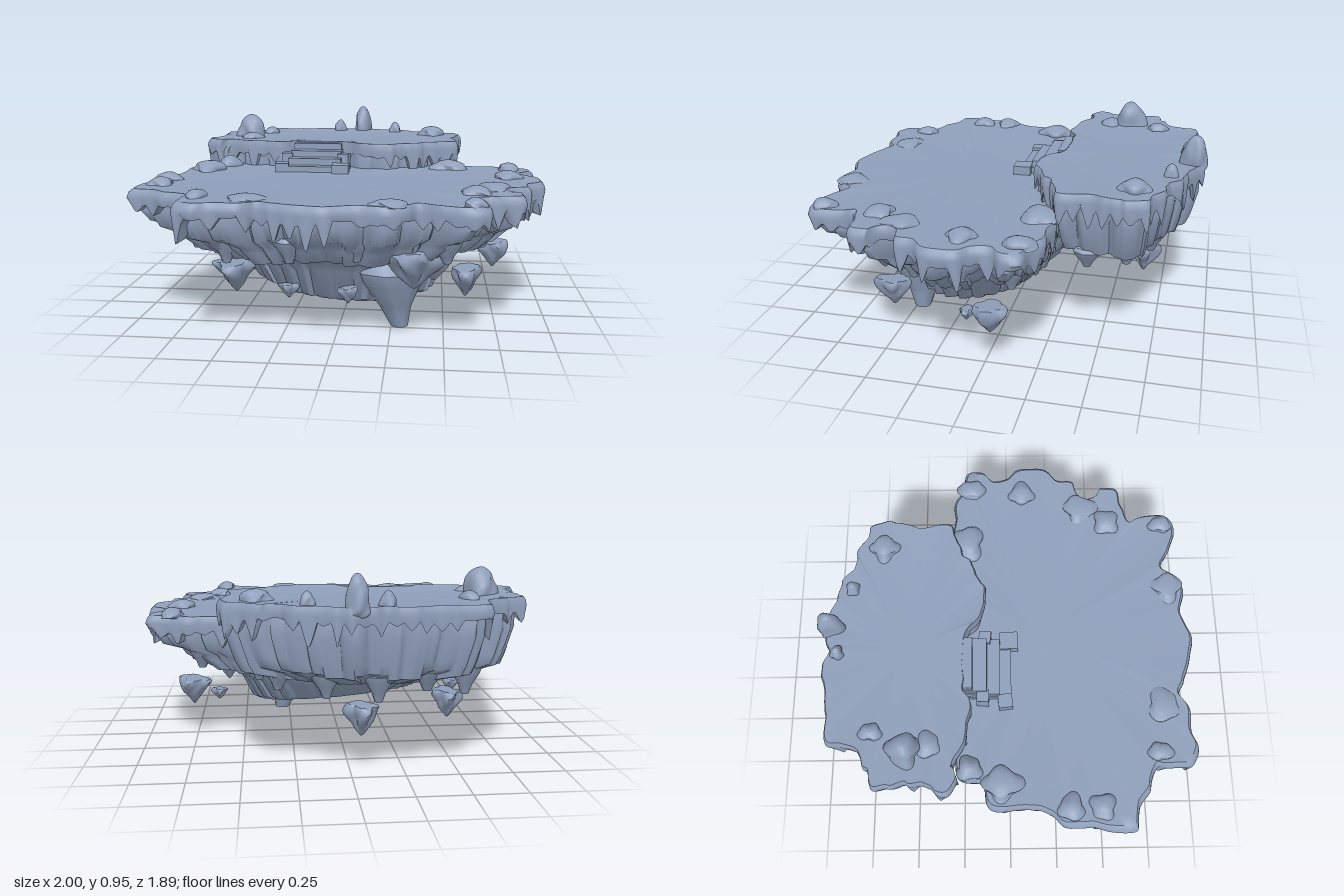
import * as THREE from 'three';
import { mergeVertices, toCreasedNormals } from 'three/addons/utils/BufferGeometryUtils.js';

const N = 480;
const stone = new THREE.MeshStandardMaterial({ color: 0x8f9fba });
stone.name = 'blue grey stone';

const hash = (n) => { const s = Math.sin(n * 127.1 + 11.7) * 43758.5453; return s - Math.floor(s); };
const lerp = THREE.MathUtils.lerp;
// Smooth looping noise along the rim
function rimNoise(t, count, seed) {
  const u = t * count, i = Math.floor(u), f = u - i, e = f * f * (3 - 2 * f);
  return lerp(hash((i % count) + seed), hash(((i + 1) % count) + seed), e);
}

const lowerOutline = [[0.56, -0.29], [0.66, -0.28], [0.76, -0.29], [0.84, -0.24], [0.95, -0.22], [0.96, -0.14], [0.9, -0.08],
  [0.92, 0], [0.98, 0.06], [0.99, 0.14], [0.97, 0.22], [0.92, 0.27], [0.9, 0.36], [0.82, 0.38], [0.8, 0.47], [0.86, 0.52],
  [0.85, 0.59], [0.75, 0.62], [0.64, 0.65], [0.68, 0.72], [0.68, 0.85], [0.62, 0.89], [0.5, 0.87], [0.38, 0.81], [0.33, 0.87],
  [0.25, 0.92], [0.12, 0.89], [0, 0.94], [-0.1, 0.93], [-0.25, 0.88], [-0.33, 0.84], [-0.4, 0.89], [-0.5, 0.89], [-0.6, 0.92],
  [-0.68, 0.88], [-0.69, 0.71], [-0.8, 0.67], [-0.87, 0.62], [-0.98, 0.6], [-0.99, 0.5], [-0.96, 0.4], [-0.97, 0.28],
  [-0.9, 0.2], [-0.88, 0.08], [-0.88, -0.09], [-0.76, -0.14], [-0.73, -0.25], [-0.4, -0.27], [0, -0.27], [0.3, -0.28]];
const upperOutline = [[-0.84, -0.3], [-0.8, -0.38], [-0.79, -0.5], [-0.8, -0.65], [-0.72, -0.68], [-0.63, -0.72], [-0.58, -0.87],
  [-0.45, -0.88], [-0.35, -0.89], [-0.2, -0.91], [-0.12, -0.88], [0, -0.94], [0.07, -0.9], [0.15, -0.86], [0.27, -0.83],
  [0.32, -0.78], [0.42, -0.77], [0.5, -0.72], [0.57, -0.7], [0.59, -0.55], [0.55, -0.45], [0.57, -0.3], [0.42, -0.24],
  [0.3, -0.16], [0.2, -0.12], [0.05, -0.14], [-0.03, -0.21], [-0.1, -0.23], [-0.34, -0.22], [-0.4, -0.18], [-0.5, -0.2],
  [-0.6, -0.22], [-0.7, -0.27], [-0.76, -0.25]];

// Skin through rings running from the top centre down to the bottom centre
function loft(rows, crease = 0.75) {
  const pos = [], idx = [];
  rows.forEach((row) => { for (let i = 0; i < N; i++) pos.push(...row(i / N, i)); });
  for (let r = 0; r < rows.length - 1; r++) for (let i = 0; i < N; i++) {
    const j = (i + 1) % N, a = r * N + i, b = r * N + j, c = a + N, d = b + N;
    idx.push(a, b, c, b, d, c);
  }
  const g = new THREE.BufferGeometry();
  g.setAttribute('position', new THREE.Float32BufferAttribute(pos, 3));
  g.setIndex(idx);
  return toCreasedNormals(g, crease);
}

function add(parent, name, geometry) {
  const m = new THREE.Mesh(geometry, stone);
  m.name = name;
  parent.add(m);
  return m;
}

// One terrace: a dripping crust over a wall of rounded stone columns
function terrace(name, outline, topY, core, blocks, seed, bodyRows) {
  const group = new THREE.Group();
  group.name = name;
  const curve = new THREE.CatmullRomCurve3(outline.map(([x, z]) => new THREE.Vector3(x, 0, z)), true, 'centripetal');
  const pts = curve.getSpacedPoints(N).slice(0, N);
  const inner = pts.map((p) => {
    const a = Math.atan2((p.z - core.z) / core.rz, (p.x - core.x) / core.rx);
    return [core.x + core.rx * Math.cos(a), core.z + core.rz * Math.sin(a)];
  });
  // k moves from the outline to the core; s then shrinks toward the core centre
  const ring = (k, y, s = 1, groove = 0, jag = 0) => (t, i) => {
    const g = Math.pow(Math.abs(Math.cos(Math.PI * t * blocks)), 7) * groove;
    const id = Math.floor(t * blocks + 0.5) % blocks;
    const f = s * (1 - g), p = pts[i], q = inner[i];
    const x = core.x + (lerp(p.x, q[0], k) - core.x) * f;
    const z = core.z + (lerp(p.z, q[1], k) - core.z) * f;
    const wob = 0.018 * (rimNoise(t, 90, seed) - 0.5);
    const yy = typeof y === 'function' ? y(x, z, t) : y;
    return [x + wob, yy + jag * (hash(id + seed) - 0.5), z + wob];
  };
  const teeth = Math.round(blocks * 2.6);
  const tooth = (t) => {
    const u = t * teeth, i = Math.floor(u);
    return (1 - Math.abs(2 * (u - i) - 1)) * Math.pow(hash(i + seed * 3), 1.6);
  };
  const drip = (up) => (x, z, t) => topY - 0.055 - 0.025 * rimNoise(t, 60, seed) - 0.15 * tooth(t) + up;
  add(group, 'crust', loft([
    ring(0, topY, 0), ring(0.16, topY), ring(0.05, topY + 0.003), ring(0, topY - 0.015),
    ring(-0.02, topY - 0.04), ring(0.01, drip(0)), ring(0.1, drip(0.015)), ring(0.3, topY - 0.04)]));
  add(group, 'stoneColumns', loft([ring(0.2, topY - 0.02, 0.98), ...bodyRows(ring)]));
  return group;
}

// Lumpy stone; kind 0 is a ground mound, kind 1 hangs with a flat top and a tapered base
function rock(parent, name, x, y, z, r, h, seed, kind) {
  const g0 = new THREE.IcosahedronGeometry(1, 5);
  g0.deleteAttribute('normal');
  g0.deleteAttribute('uv');
  const g = mergeVertices(g0), p = g.attributes.position;
  for (let i = 0; i < p.count; i++) {
    let [a, b, c] = [p.getX(i), p.getY(i), p.getZ(i)];
    const n = 1 + 0.13 * Math.sin(3.1 * a + seed) + 0.11 * Math.sin(4.3 * c + seed * 2.1) + 0.08 * Math.sin(6 * b + 5 * a + seed);
    if (kind) {
      const w = b < 0.2 ? lerp(0.3, 1.12, (b + 1) / 1.2) : 1.12;
      const flat = Math.hypot(a, c) > 0 ? w * Math.max(Math.abs(a), Math.abs(c), 0.75 * Math.hypot(a, c)) / Math.hypot(a, c) : 1;
      a *= flat * n * 1.25; c *= flat * n * 1.25; b = Math.min(b, 0.45 + 0.08 * a);
      b = (b + 1) / 1.45;
    } else {
      const squash = Math.max(b, 0);
      a *= n * (1 - 0.15 * squash); c *= n * (1 - 0.15 * squash);
      b = Math.sign(b) * Math.pow(Math.abs(b), 0.85) * (b > 0 ? 1 : 0.3);
    }
    p.setXYZ(i, x + a * r, y + b * h, z + c * r);
  }
  add(parent, name, toCreasedNormals(g, 0.8));
}

// Downward spike built from a bent, tapered profile
function spike(parent, name, x, z, top, bottom, r, lean = 0) {
  const h = top - bottom;
  const g = new THREE.LatheGeometry([[0, 0], [r * 0.25, 0.01 * h], [r * 0.45, 0.3 * h], [r * 0.9, 0.68 * h], [r, 0.85 * h], [r * 0.8, h], [0, h]]
    .map(([a, b]) => new THREE.Vector2(a, b)), 9);
  const p = g.attributes.position;
  for (let i = 0; i < p.count; i++) {
    const d = 1 - p.getY(i) / h;
    p.setX(i, p.getX(i) + lean * d);
  }
  g.translate(x, bottom, z);
  g.deleteAttribute('normal');
  g.deleteAttribute('uv');
  add(parent, name, toCreasedNormals(mergeVertices(g), 0.7));
}

export function createModel() {
  const island = new THREE.Group();
  island.name = 'floatingIsland';

  // Lower terrace with the tapering keel
  const keelY = (x, z) => 0.2 - 0.08 * x - 0.13 * z;
  island.add(terrace('lowerTerrace', lowerOutline, 0.67, { x: -0.01, z: 0.18, rx: 0.61, rz: 0.47 }, 30, 5, (ring) => [
    ring(0.1, 0.63, 1, 0.05), ring(0.07, 0.57, 1, 0.07), ring(0.16, 0.5, 1, 0.07, 0.04), ring(0.38, 0.465, 1, 0.05, 0.05),
    ring(0.42, 0.44, 1, 0.06, 0.04), ring(0.62, 0.375, 1, 0.06, 0.05), ring(0.92, 0.365, 1, 0.04, 0.04),
    ring(1, 0.34, 0.98, 0.04), ring(1, 0.29, 0.87, 0.05),
    ring(1, (x, z) => keelY(x, z) + 0.02, 0.77, 0.05), ring(1, keelY, 0.71, 0.03), ring(1, 0.177, 0)]));

  // Raised back terrace
  island.add(terrace('upperTerrace', upperOutline, 0.805, { x: -0.12, z: -0.5, rx: 0.5, rz: 0.27 }, 22, 19, (ring) => [
    ring(0.12, 0.74, 1, 0.05), ring(0.12, 0.66, 1, 0.07), ring(0.3, 0.54, 1, 0.07, 0.03), ring(0.42, 0.49, 1, 0.06, 0.04),
    ring(0.9, 0.46, 1, 0.04, 0.03), ring(1, 0.43, 0.85), ring(1, 0.41, 0)]));

  // Stairs between the terraces
  const stairs = new THREE.Group();
  stairs.name = 'stairs';
  island.add(stairs);
  [[0.8, -0.18], [0.768, -0.11], [0.735, -0.045], [0.7, 0.01]].forEach(([y, z], i) => {
    const h = y - 0.64, d = z + 0.3, w = 0.26 + 0.012 * i;
    add(stairs, 'step', new THREE.BoxGeometry(w, h, d)).position.set(-0.195, 0.64 + h / 2, z - d / 2);
  });
  [[-0.365, -0.02, 0.07], [-0.05, 0, 0.09], [-0.35, -0.13, 0.06], [-0.045, -0.12, 0.06]].forEach(([x, z, w], i) => {
    const b = add(stairs, 'stairSideStone', new THREE.BoxGeometry(w, i > 1 ? 0.12 : 0.08, w));
    b.position.set(x, i > 1 ? 0.695 : 0.675, z);
    b.rotation.y = 0.1 - 0.07 * i;
  });

  // Boulders and mounds on the ground
  [[-0.635, -0.5, 0.08, 0.13], [-0.005, -0.88, 0.058, 0.15], [-0.14, -0.84, 0.035, 0.07], [0.2, -0.78, 0.033, 0.065],
    [0.42, -0.63, 0.075, 0.055], [-0.54, -0.66, 0.05, 0.04], [-0.6, -0.39, 0.06, 0.035]]
    .forEach(([x, z, r, h], i) => rock(island, 'upperBoulder', x, 0.8, z, r, h, i * 1.7, 0));
  [[-0.77, -0.04, 0.095, 0.05], [-0.88, 0.29, 0.065, 0.04], [-0.88, 0.44, 0.06, 0.04], [-0.62, 0.73, 0.055, 0.035],
    [-0.38, 0.76, 0.08, 0.025], [0.25, 0.83, 0.08, 0.025], [0.62, 0.82, 0.055, 0.04], [0.64, 0.53, 0.065, 0.04],
    [0.72, 0.39, 0.085, 0.03], [0.82, 0.08, 0.07, 0.04], [0.52, -0.21, 0.09, 0.05], [0.84, -0.19, 0.065, 0.04], [-0.69, -0.2, 0.06, 0.06]]
    .forEach(([x, z, r, h], i) => rock(island, 'lowerMound', x, 0.667, z, r, h, i * 2.3 + 1, 0));

  // Lowest spur of the keel and the rocks clinging beside it
  spike(island, 'keelTip', 0.22, 0.47, 0.34, 0, 0.17, 0.07);
  rock(island, 'keelRock', 0.36, 0.24, 0.64, 0.1, 0.19, 4, 1);
  rock(island, 'keelRock', 0.45, 0.2, 0.36, 0.09, 0.2, 7, 1);

  // Stone points under the overhangs
  [[-0.55, -0.6], [-0.35, -0.7], [-0.12, -0.74], [0.12, -0.7], [0.32, -0.6], [0.42, -0.42], [-0.62, -0.4], [0.7, -0.12],
    [0.75, 0.12], [0.68, 0.36], [0.5, 0.7], [0.1, 0.74], [-0.2, 0.75], [-0.5, 0.7], [-0.72, 0.42], [-0.72, 0.1]]
    .forEach(([x, z], i) => spike(island, 'hangingPoint', x, z, 0.5, 0.34 + 0.05 * hash(i + 3), 0.075, 0.02 * (hash(i) - 0.5)));

  // Loose stones floating below: x, bottom, z, radius, height
  [[-0.5, 0.16, 0.5, 0.075, 0.15], [-0.24, 0.14, 0.52, 0.032, 0.07], [0.05, 0.14, 0.58, 0.034, 0.08], [0.6, 0.17, 0.5, 0.06, 0.14],
    [0.64, 0.15, 0.12, 0.03, 0.06], [0.76, 0.17, -0.03, 0.06, 0.14], [-0.52, 0.16, -0.36, 0.06, 0.14],
    [-0.05, 0.17, -0.66, 0.06, 0.15], [-0.66, 0.15, 0.18, 0.034, 0.07]]
    .forEach(([x, y, z, r, h], i) => rock(island, 'floatingStone', x, y, z, r, h, i * 1.9 + 2, 1));

  return island;
}
